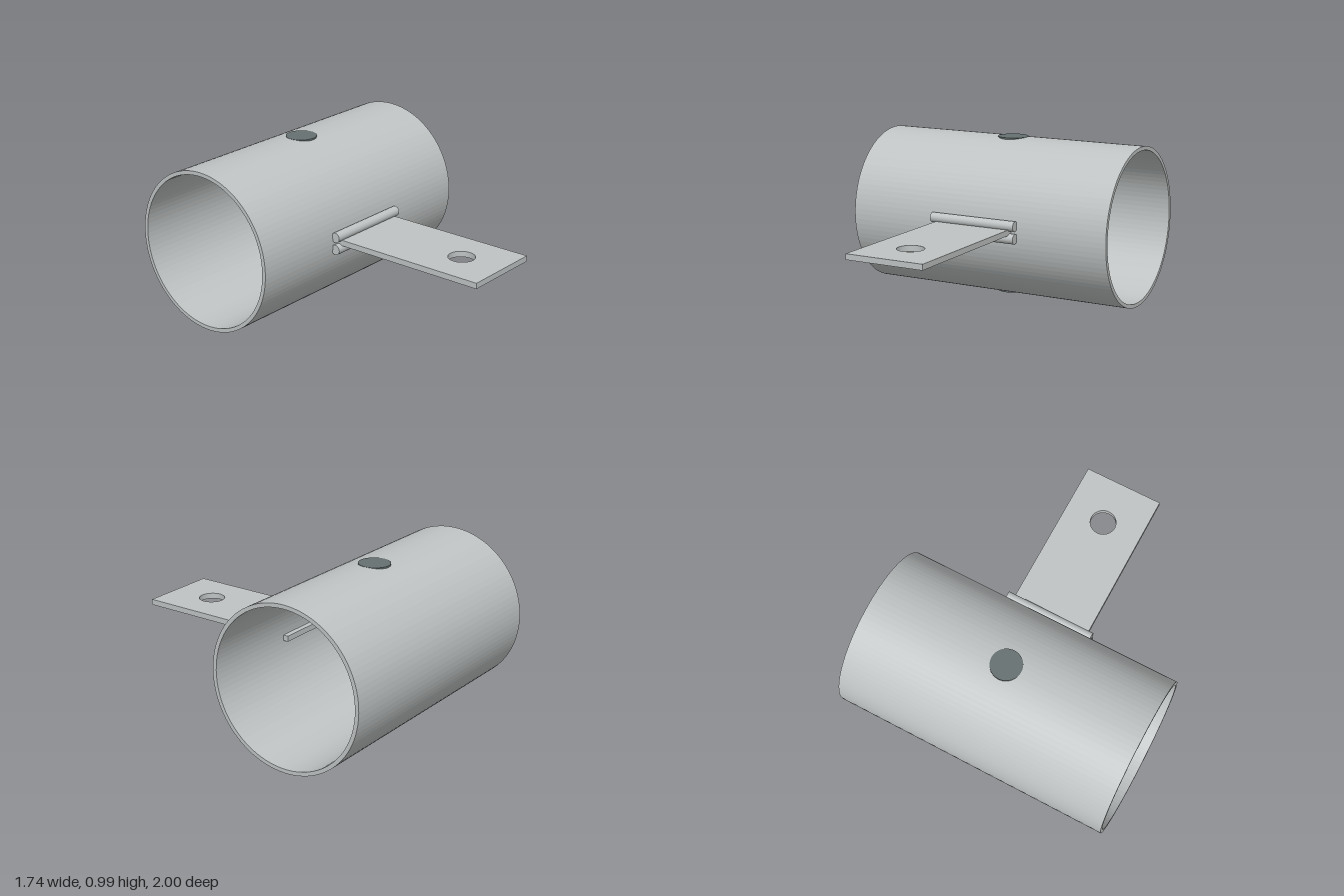
import * as THREE from 'three';

export function createModel() {
  const model = new THREE.Group();
  model.name = 'pipeWithTab';

  const steel = new THREE.MeshStandardMaterial({ color: 0xbfc3c3 });
  steel.name = 'light steel';
  const dark = new THREE.MeshStandardMaterial({ color: 0x667070 });
  dark.name = 'dark plug grey';

  const add = (name, geometry, material, x = 0, y = 0, z = 0) => {
    const mesh = new THREE.Mesh(geometry, material);
    mesh.name = name;
    mesh.position.set(x, y, z);
    model.add(mesh);
    return mesh;
  };

  // Shape with a round hole, extruded by depth
  const pierced = (shape, hx, hy, radius, depth, curveSegments) => {
    shape.holes.push(new THREE.Path().absarc(hx, hy, radius, 0, Math.PI * 2, true));
    return new THREE.ExtrudeGeometry(shape, { depth, bevelEnabled: false, curveSegments });
  };

  // Hollow pipe lying along x
  const axisY = 0.506, axisZ = -0.506, outer = 0.494, inner = 0.47, length = 1.736;
  const ring = new THREE.Shape().absarc(0, 0, outer, 0, Math.PI * 2, false);
  const pipe = pierced(ring, 0, 0, inner, length, 48);
  pipe.translate(0, 0, -length / 2).rotateY(Math.PI / 2);
  add('pipe', pipe, steel, 0, axisY, axisZ);

  // Flat round plugs through the top and bottom of the wall
  const plugHeight = 0.028;
  for (const [name, side] of [['topPlug', 1], ['bottomPlug', -1]]) {
    const plug = new THREE.CylinderGeometry(0.095, 0.095, plugHeight, 48);
    add(name, plug, dark, 0, axisY + side * (outer + 0.001 - plugHeight / 2), axisZ);
  }

  // Flat tab with a bolt hole, passing through the pipe wall
  const w = 0.25, back = -0.07, front = 1;
  const outline = new THREE.Shape([
    new THREE.Vector2(-w, -front), new THREE.Vector2(w, -front),
    new THREE.Vector2(w, -back), new THREE.Vector2(-w, -back),
  ]);
  const tab = pierced(outline, 0, -0.718, 0.08, 0.035, 24);
  tab.rotateX(-Math.PI / 2);
  add('tab', tab, steel, 0, 0.491, 0);

  // Weld rods above and below the tab
  for (const [name, y] of [['upperRod', 0.546], ['lowerRod', 0.469]]) {
    const rod = new THREE.CylinderGeometry(0.031, 0.031, 0.57, 32);
    rod.rotateZ(Math.PI / 2);
    add(name, rod, steel, 0, y, 0.006);
  }

  return model;
}
